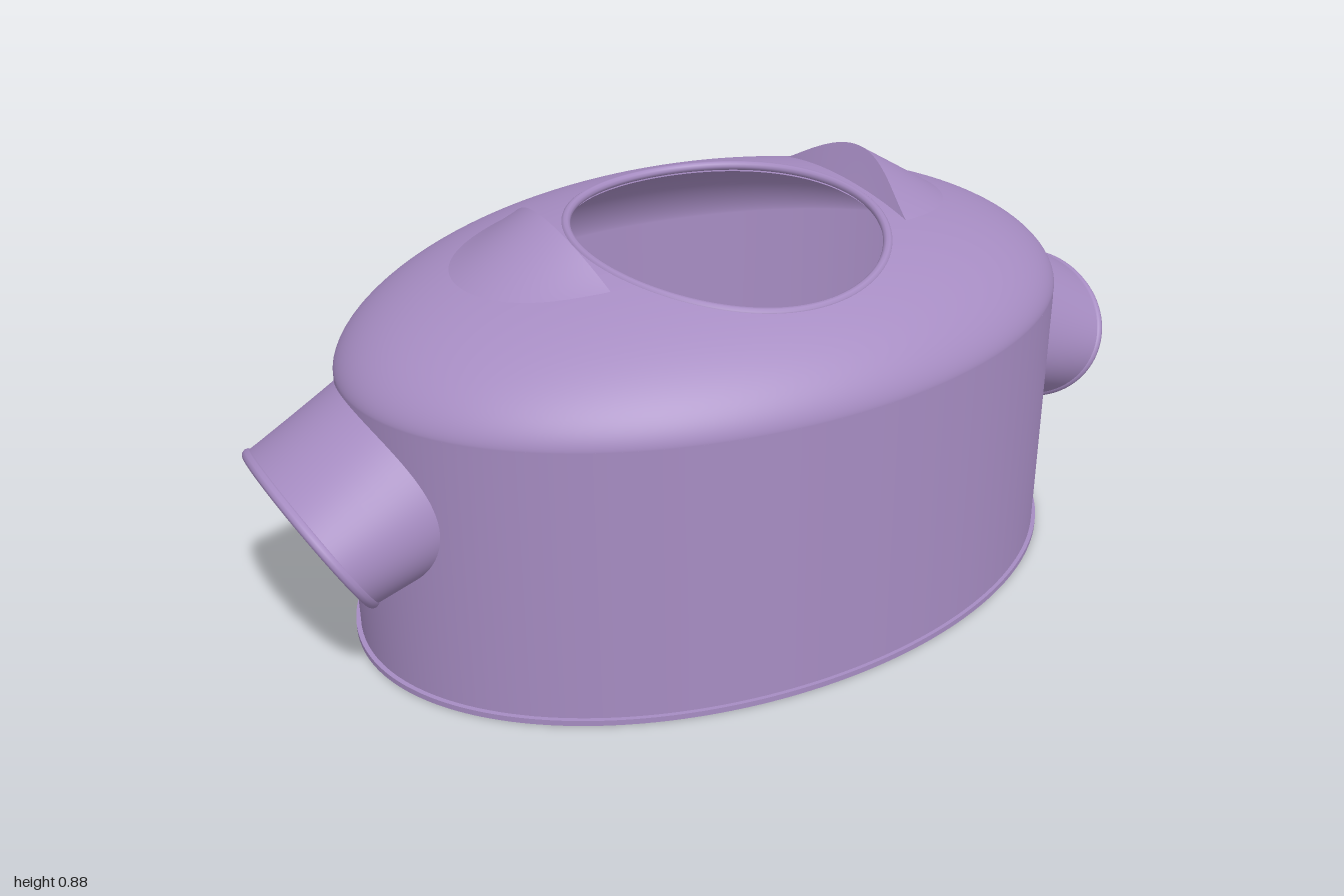
import * as THREE from 'three';
import { ParametricGeometry } from 'three/addons/geometries/ParametricGeometry.js';

const RX = 0.815, RZ = 0.555, WALL_TOP = 0.6; // body ellipse and shoulder line
const SIDE = 0.7;                             // half angle of the wall panel around an arm hole
const MID_Z = -0.02;                          // arm holes sit slightly behind the centre
const TAU = Math.PI * 2;

const material = new THREE.MeshStandardMaterial({ color: 0xa68cc2, side: THREE.DoubleSide });

function addMesh(parent, name, geometry) {
  const mesh = new THREE.Mesh(geometry, material);
  mesh.name = name;
  parent.add(mesh);
  return mesh;
}

function surface(parent, name, nu, nv, fn) {
  return addMesh(parent, name, new ParametricGeometry(fn, nu, nv));
}

// Height of the shoulder dome, leaning slightly forward
function domeY(x, z) {
  const t = Math.min(1, Math.hypot(x / RX, z / RZ));
  const rise = 0.23 * Math.pow(Math.max(0, 1 - Math.pow(t, 2.5)), 0.6);
  return WALL_TOP + rise * (1 - 0.17 * z);
}

// Neck opening
const neckX = (a) => 0.325 * Math.cos(a);
const neckZ = (a) => 0.055 + 0.335 * Math.sin(a);

// Point on the wall, inset by d
const wallPoint = (phi, y, d, out) =>
  out.set((RX - d) * Math.cos(phi), y, (RZ - d) * Math.sin(phi));

// Arm hole edge in the wall (d = 0 outside, d > 0 inside)
function holeAt(a, d) {
  const z = MID_Z + (0.255 - d * 1.3) * Math.cos(a);
  const y = 0.4 + (0.195 - d * 1.2) * Math.sin(a);
  return [Math.asin(z / (RZ - d)), y];
}

// Tilted cuff edge of the sleeve
function cuffAt(a, d, out) {
  const r = (0.168 - d * 0.7) * Math.sin(a);
  return out.set(0.907 + 0.493 * r, 0.335 + 0.87 * r, MID_Z + (0.24 - d) * Math.cos(a));
}

// Closed bead along a curve given by a function of angle
function bead(parent, name, radius, fn) {
  const points = Array.from({ length: 64 }, (_, i) => fn((i / 64) * TAU));
  const curve = new THREE.CatmullRomCurve3(points, true);
  return addMesh(parent, name, new THREE.TubeGeometry(curve, 128, radius, 10, true));
}

// One skin of the garment
function addSkin(group, label, d) {
  const top = WALL_TOP - d;

  surface(group, label + 'Shoulders', 128, 32, (u, v, out) => {
    const a = -u * TAU, s = v * v;
    const x = THREE.MathUtils.lerp(RX * Math.cos(a), neckX(a), s);
    const z = THREE.MathUtils.lerp(RZ * Math.sin(a), neckZ(a), s);
    const k = d * (1 - s);
    out.set(x * (1 - k / RX), domeY(x, z) - d, z * (1 - k / RZ));
  });

  // Front and back walls
  [['FrontWall', SIDE], ['BackWall', Math.PI + SIDE]].forEach(([name, start]) => {
    surface(group, label + name, 48, 1, (u, v, out) =>
      wallPoint(start + (1 - u) * (Math.PI - 2 * SIDE), v * top, d, out));
  });

  // Side walls with arm holes, and sleeves
  [1, -1].forEach((sx) => {
    const side = sx > 0 ? 'Left' : 'Right';
    const panel = surface(group, label + 'Wall' + side, 96, 10, (u, v, out) => {
      const a = u * TAU, c = Math.cos(a), s = Math.sin(a);
      const m = Math.max(Math.abs(c), Math.abs(s));
      const [hp, hy] = holeAt(a, d);
      const phi = THREE.MathUtils.lerp(hp, (SIDE * c) / m, v);
      const y = THREE.MathUtils.lerp(hy, (top / 2) * (1 + s / m), v);
      wallPoint(phi, y, d, out);
    });
    panel.scale.x = sx;

    const cuff = new THREE.Vector3();
    const sleeve = surface(group, label + 'Sleeve' + side, 96, 6, (u, v, out) => {
      const a = u * TAU;
      const [phi, y] = holeAt(a, d);
      wallPoint(phi, y, d, out).lerp(cuffAt(a, d, cuff), 1 - v);
    });
    sleeve.scale.x = sx;
  });
}

// Raised shoulder peak beside the neck
function addPeak(group, sx) {
  const peak = new THREE.Group();
  peak.name = sx > 0 ? 'shoulderPeakLeft' : 'shoulderPeakRight';
  peak.scale.x = sx;
  group.add(peak);

  const base = 0.345, sink = 0.006;
  const zAt = (w) => MID_Z + 0.245 * w;
  const crest = (w) => {
    const bell = Math.pow(Math.max(0, Math.cos((w * Math.PI) / 2)), 1.5);
    const x = base + 0.04 * bell, z = zAt(w);
    const foot = domeY(x, z) - sink;
    return new THREE.Vector3(x, foot + (0.88 - foot) * bell, z);
  };
  const foot = (x, w) => new THREE.Vector3(x, domeY(x, zAt(w)) - sink, zAt(w));

  surface(peak, 'peakOuterSlope', 48, 12, (u, v, out) => {
    const w = 2 * u - 1;
    const edge = foot(base + 0.24 * Math.sqrt(Math.max(0, 1 - w * w)), w);
    out.copy(crest(w)).lerp(edge, v);
  });
  surface(peak, 'peakInnerFace', 48, 4, (u, v, out) => {
    const w = 2 * u - 1;
    out.copy(foot(base, w)).lerp(crest(w), v);
  });
}

export function createModel() {
  const group = new THREE.Group();
  group.name = 'garment';

  addSkin(group, 'outer', 0);
  addSkin(group, 'inner', 0.02);

  // Neck edging
  bead(group, 'neckEdge', 0.01, (a) =>
    new THREE.Vector3(neckX(a), domeY(neckX(a), neckZ(a)) - 0.006, neckZ(a)));

  // Cuffs and shoulder peaks
  [1, -1].forEach((sx) => {
    const cuff = bead(group, sx > 0 ? 'cuffLeft' : 'cuffRight', 0.012,
      (a) => cuffAt(a, 0.008, new THREE.Vector3()));
    cuff.scale.x = sx;
    addPeak(group, sx);
  });

  // Flat hem ring
  const ring = new THREE.Shape().absellipse(0, 0, RX + 0.01, RZ + 0.008, 0, TAU, false);
  ring.holes.push(new THREE.Path().absellipse(0, 0, RX - 0.022, RZ - 0.022, 0, TAU, true));
  const hem = new THREE.ExtrudeGeometry(ring, { depth: 0.012, bevelEnabled: false, curveSegments: 128 });
  hem.rotateX(-Math.PI / 2);
  addMesh(group, 'hem', hem);

  return group;
}
